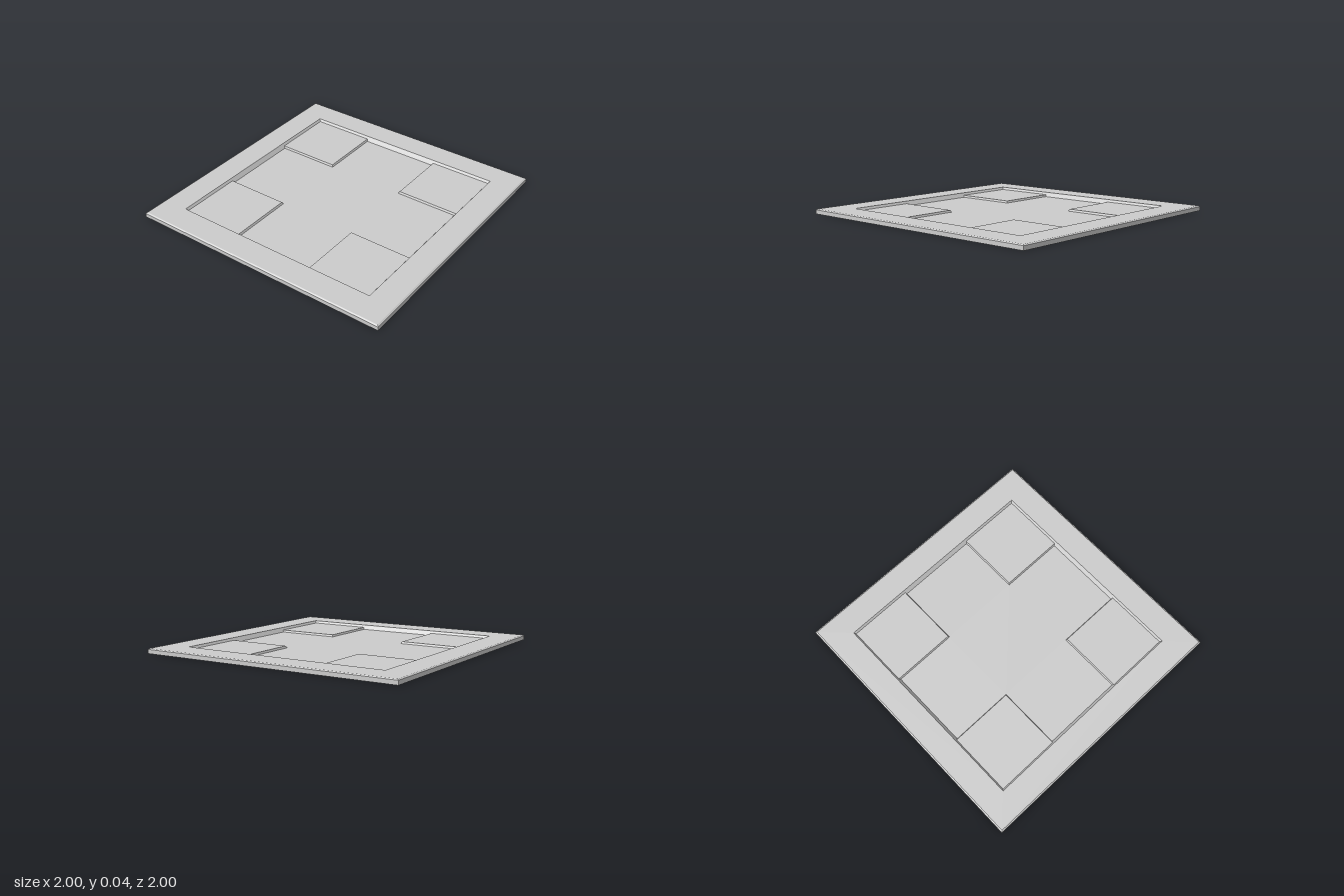
import * as THREE from 'three';

const material = new THREE.MeshStandardMaterial({ color: 0xcccccc, flatShading: true, side: THREE.DoubleSide });

// Heights: outer edge of bevel, frame top, corner pad, cross floor
const EDGE = 0.03, TOP = 0.037, PAD = 0.019, FLOOR = 0.004;
// Half-widths: frame bevel, recess rim, pad outer edge, floor outer edge, pad inner edge, floor arm
const BEVEL = 0.99, RIM = 0.8, PAD_OUT = 0.788, FLOOR_OUT = 0.778, PAD_IN = 0.31, ARM = 0.303;

// Flat polygons (convex, corners listed counter-clockwise from outside) joined into one mesh
function facets(name, polygons) {
  const pos = [];
  for (const p of polygons)
    for (let i = 1; i < p.length - 1; i++) pos.push(...p[0], ...p[i], ...p[i + 1]);
  const g = new THREE.BufferGeometry();
  g.setAttribute('position', new THREE.Float32BufferAttribute(pos, 3));
  g.computeVertexNormals();
  const mesh = new THREE.Mesh(g, material);
  mesh.name = name;
  return mesh;
}

// Full-width strip on the +z side between two square rings (half-width, height)
const strip = (a, ya, b, yb) => [[-a, ya, a], [a, ya, a], [b, yb, b], [-b, yb, b]];

export function createModel() {
  const model = new THREE.Group();
  model.name = 'floorPanel';

  for (let k = 0; k < 4; k++) {
    const quarter = new THREE.Group();
    quarter.name = 'panelQuarter';
    quarter.rotation.y = k * Math.PI / 2;

    // Outer skirt, bevel and flat border
    quarter.add(facets('frameSide', [
      strip(1, 0, 1, EDGE),
      strip(1, EDGE, BEVEL, TOP),
      strip(BEVEL, TOP, RIM, TOP),
    ]));

    // Sloping wall of the recess: down to the pads, then on to the floor between them
    quarter.add(facets('recessWall', [
      strip(RIM, TOP, PAD_OUT, PAD),
      [[-PAD_IN, PAD, PAD_OUT], [PAD_IN, PAD, PAD_OUT], [ARM, FLOOR, FLOOR_OUT], [-ARM, FLOOR, FLOOR_OUT]],
    ]));

    // Raised corner pad with its two sloping inner sides
    quarter.add(facets('cornerPad', [
      [[PAD_IN, PAD, PAD_IN], [PAD_IN, PAD, PAD_OUT], [PAD_OUT, PAD, PAD_OUT], [PAD_OUT, PAD, PAD_IN]],
      [[ARM, FLOOR, ARM], [ARM, FLOOR, FLOOR_OUT], [PAD_IN, PAD, PAD_OUT], [PAD_IN, PAD, PAD_IN]],
      [[FLOOR_OUT, FLOOR, ARM], [ARM, FLOOR, ARM], [PAD_IN, PAD, PAD_IN], [PAD_OUT, PAD, PAD_IN]],
    ]));

    // One arm of the cross-shaped floor
    quarter.add(facets('floorArm', [
      [[-ARM, FLOOR, ARM], [-ARM, FLOOR, FLOOR_OUT], [ARM, FLOOR, FLOOR_OUT], [ARM, FLOOR, ARM]],
    ]));
    model.add(quarter);
  }

  // Middle of the cross
  model.add(facets('floorCentre', [
    [[-ARM, FLOOR, -ARM], [-ARM, FLOOR, ARM], [ARM, FLOOR, ARM], [ARM, FLOOR, -ARM]],
  ]));
  return model;
}
